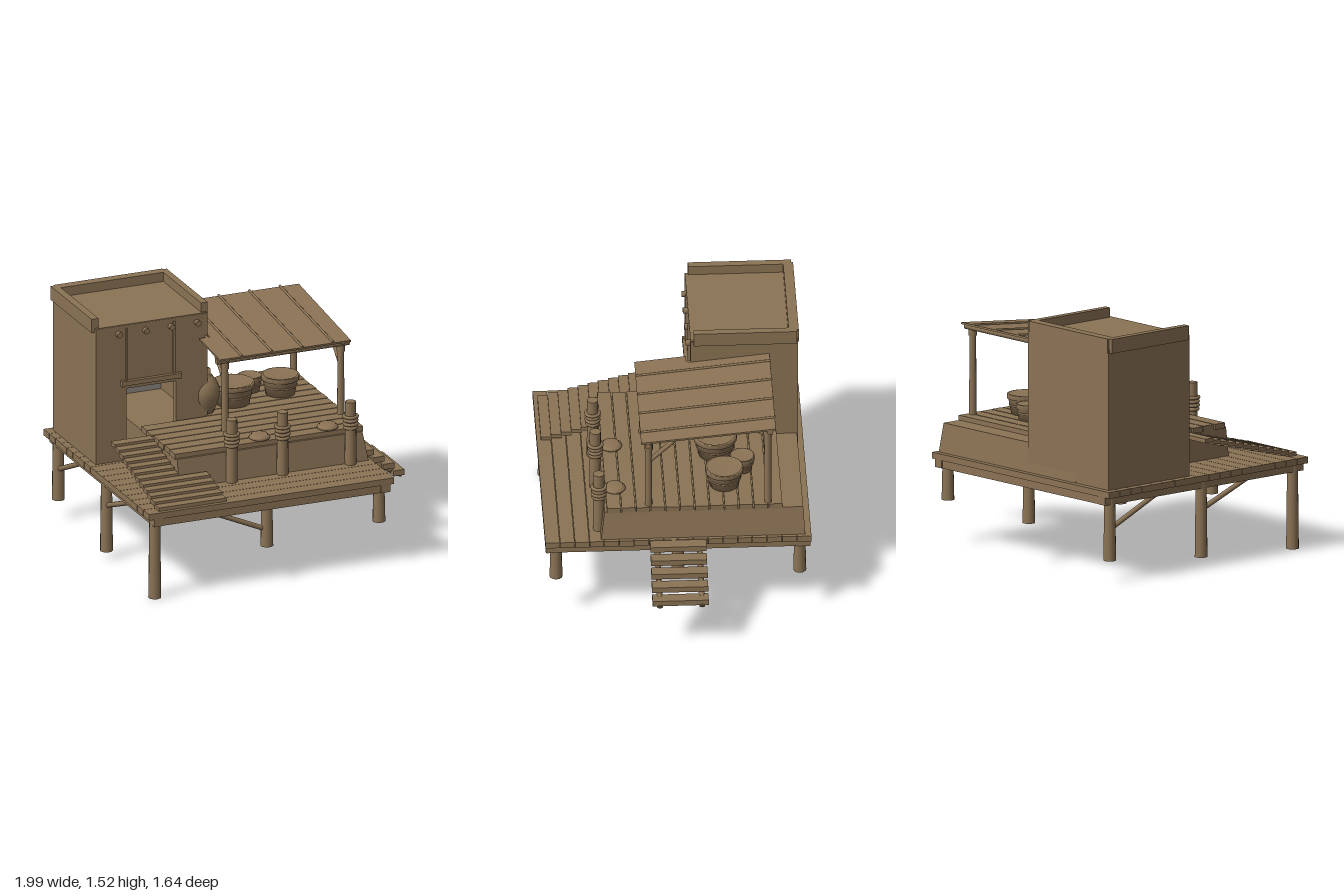
import * as THREE from 'three';

const wood = new THREE.MeshStandardMaterial({ color: 0x8b7355 });
wood.name = 'weathered wood';
const grey = new THREE.MeshStandardMaterial({ color: 0x8a8581 });
grey.name = 'grey interior';

export function createModel() {
  const root = new THREE.Group();
  root.name = 'stiltHouse';
  const V = (x, y, z) => new THREE.Vector3(x, y, z);

  function add(name, geo, mat = wood) {
    const m = new THREE.Mesh(geo, mat);
    m.name = name;
    root.add(m);
    return m;
  }
  // box given by its min and max on each axis
  function box(name, x0, x1, y0, y1, z0, z1, mat) {
    const m = add(name, new THREE.BoxGeometry(x1 - x0, y1 - y0, z1 - z0), mat);
    m.position.set((x0 + x1) / 2, (y0 + y1) / 2, (z0 + z1) / 2);
    return m;
  }
  // round pole between two points
  function pole(name, a, b, r0, r1 = r0, sides = 12) {
    const m = add(name, new THREE.CylinderGeometry(r1, r0, a.distanceTo(b), sides));
    m.position.copy(a).add(b).multiplyScalar(0.5);
    m.quaternion.setFromUnitVectors(V(0, 1, 0), b.clone().sub(a).normalize());
    return m;
  }
  function lathe(name, pts, x, y, z) {
    const m = add(name, new THREE.LatheGeometry(pts.map(p => new THREE.Vector2(...p)), 20));
    m.position.set(x, y, z);
  }
  const outline = pts => pts.map(q => new THREE.Vector2(...q));

  // lower deck: planks along x on a frame
  const pitch = 1.64 / 18;
  for (let i = 0; i < 18; i++) {
    const z = -0.82 + i * pitch, jog = (i % 3) * 0.001;
    box('deckPlank', -1 + jog, 0.642 - jog, 0.535, 0.575, z + 0.0015, z + pitch - 0.0015);
  }
  for (const z of [-0.775, 0, 0.775]) box('deckBeam', -0.96, 0.62, 0.485, 0.535, z - 0.035, z + 0.035);
  for (const x of [-0.93, 0.585]) box('deckBeam', x - 0.03, x + 0.03, 0.485, 0.535, -0.815, 0.815);
  // flat boarding under the raised part
  for (const [z0, z1] of [[-0.74, -0.035], [0.035, 0.74]])
    box('underBoarding', -0.66, 0.555, 0.515, 0.535, z0, z1);

  // stilts, each reaching its own depth
  const xs = [-0.93, -0.18, 0.57], zs = [0.75, 0, -0.75];
  const feet = [[0, 0.05, 0.13], [0.23, 0.27, 0.25], [0.28, 0.33, 0.28]];
  xs.forEach((x, i) => zs.forEach((z, j) =>
    pole('stilt', V(x, feet[i][j], z), V(x, 0.535, z), 0.04, 0.034)));
  pole('stiltBrace', V(-0.18, 0.335, 0.75), V(-0.54, 0.495, 0.75), 0.016);
  pole('stiltBrace', V(-0.93, 0.345, 0), V(-0.93, 0.495, 0.38), 0.016);
  pole('stiltBrace', V(-0.93, 0.325, -0.75), V(-0.93, 0.495, -0.37), 0.016);

  // raised plinth with sloping sides
  const plinth = new THREE.BoxGeometry(1.27, 0.19, 1.257);
  plinth.translate(-0.015, 0.665, -0.1535);
  const p = plinth.attributes.position;
  for (let i = 0; i < p.count; i++) {
    if (p.getY(i) < 0.7) continue;
    if (p.getX(i) > 0) p.setX(i, 0.588);
    p.setZ(i, p.getZ(i) > 0 ? 0.452 : -0.77);
  }
  plinth.computeVertexNormals();
  add('plinth', plinth);
  for (let i = 0; i < 12; i++) {
    const z1 = 0.437 - i * 0.0905;
    const x0 = z1 < -0.05 ? -0.22 : -0.66 + (i % 2) * 0.006;
    box('platformPlank', x0, 0.597 - (i % 2) * 0.004, 0.755, 0.79, z1 - 0.083, z1);
  }

  // stepped plank ramp up to the hut
  for (let i = 0; i < 12; i++) {
    const z1 = 0.793 - i * 0.062, y1 = 0.598 + i * 0.0165;
    box('rampPlank', -0.92, i < 5 ? -0.468 : -0.655, y1 - 0.026, y1, z1 - 0.066, z1);
  }
  // stair at the side
  for (let i = 0; i < 5; i++) {
    const x = 0.642 + i * 0.068, y = 0.572 - i * 0.0535;
    box('stairTread', x, x + 0.075, y - 0.036, y, -0.17, 0.175);
  }
  for (const z of [-0.13, 0.13])
    pole('stairStringer', V(0.6, 0.535, z), V(0.985, 0.312, z), 0.018);

  // hut walls, the front one with a doorway
  box('hutSideWall', -0.952, -0.91, 0.56, 1.46, -0.778, -0.115);
  box('hutSideWall', -0.25, -0.205, 0.56, 1.46, -0.778, -0.115);
  box('hutBackWall', -0.92, -0.24, 0.56, 1.46, -0.778, -0.74);
  box('hutInteriorPanel', -0.91, -0.25, 0.76, 1.42, -0.739, -0.732, grey);
  const front = new THREE.Shape(outline([[-0.92, 0.56], [-0.24, 0.56], [-0.24, 1.46], [-0.92, 1.46]]));
  front.holes.push(new THREE.Path(outline([[-0.747, 0.66], [-0.747, 1.045], [-0.415, 1.045], [-0.415, 0.66]])));
  add('hutFrontWall', new THREE.ExtrudeGeometry(front, { depth: 0.04, bevelEnabled: false }))
    .position.z = -0.156;
  box('hutRoof', -0.945, -0.21, 1.42, 1.465, -0.77, -0.118);
  // parapet on three sides, open at the front
  box('parapetSide', -0.972, -0.925, 1.435, 1.525, -0.77, -0.135);
  box('parapetSide', -0.24, -0.196, 1.435, 1.525, -0.77, -0.135);
  box('parapetBack', -0.945, -0.22, 1.435, 1.525, -0.782, -0.72);
  // lintel, hanging cords and pegs
  box('doorLintel', -0.765, -0.405, 1.07, 1.1, -0.12, -0.092);
  for (const x of [-0.775, -0.396]) box('lintelEnd', x - 0.01, x + 0.01, 1.066, 1.104, -0.12, -0.09);
  for (const x of [-0.747, -0.43]) box('doorCord', x - 0.007, x + 0.007, 1.09, 1.44, -0.118, -0.108);
  for (const x of [-0.8, -0.62, -0.45, -0.275])
    pole('wallPeg', V(x, 1.41, -0.14), V(x, 1.41, -0.088), 0.019);

  // shade canopy: posts, beams, braces, sloping cover and battens
  for (const x of [-0.215, 0.56]) {
    pole('canopyFrontPost', V(x, 0.78, 0.18), V(x, 1.25, 0.18), 0.023, 0.02);
    pole('canopyPostCollar', V(x, 1.2, 0.18), V(x, 1.24, 0.18), 0.026);
    pole('canopyBrace', V(x, 1.12, 0.17), V(x, 1.265, 0.02), 0.014);
    pole('canopySideRail', V(x, 1.267, 0.22), V(x, 1.345, -0.58), 0.014);
  }
  for (const x of [-0.18, 0.56]) {
    pole('canopyBackPost', V(x, 0.78, -0.555), V(x, 1.34, -0.555), 0.023, 0.021);
    pole('canopyPostCollar', V(x, 1.285, -0.555), V(x, 1.325, -0.555), 0.027);
  }
  pole('canopyFrontBeam', V(-0.275, 1.255, 0.185), V(0.61, 1.255, 0.185), 0.02);
  pole('canopyBackBeam', V(-0.2, 1.338, -0.565), V(0.61, 1.338, -0.565), 0.02);
  const tilt = Math.atan2(0.085, 0.83);
  const cover = new THREE.Shape(outline([[-0.27, -0.228], [0.607, -0.228], [0.615, 0.605],
    [-0.2, 0.605], [-0.2, 0.09], [-0.27, 0.09]]));
  const coverGeo = new THREE.ExtrudeGeometry(cover, { depth: 0.012, bevelEnabled: false });
  coverGeo.rotateX(-Math.PI / 2 + tilt);
  add('canopyCover', coverGeo).position.y = 1.291;
  for (const x of [-0.12, 0.08, 0.285, 0.49])
    pole('canopyBatten', V(x, 1.281, 0.225), V(x, 1.368, -0.605), 0.008, 0.008, 8);

  // mooring posts wrapped in rope
  for (const x of [-0.3, 0.04, 0.495]) {
    pole('mooringPost', V(x, 0.465, 0.483), V(x, 0.983, 0.483), 0.037, 0.034, 16);
    for (let i = 0; i < 4; i++) {
      const ring = add('ropeRing', new THREE.TorusGeometry(0.036 + (i % 2) * 0.002 + i * 0.001, 0.011, 8, 20));
      ring.rotation.x = Math.PI / 2;
      ring.position.set(x, 0.815 + i * 0.024, 0.483);
    }
  }
  // flat coils of rope
  for (const x of [-0.07, 0.385])
    lathe('ropeCoil', [[0, 0], [0.062, 0], [0.067, 0.01], [0.062, 0.019], [0.052, 0.021],
      [0.05, 0.03], [0, 0.03]], x, 0.79, 0.38);

  // storage jar
  lathe('jar', [[0, 0], [0.06, 0], [0.082, 0.05], [0.1, 0.11], [0.1, 0.155], [0.086, 0.2],
    [0.06, 0.235], [0.045, 0.25], [0.044, 0.282], [0, 0.282]], -0.2, 0.785, -0.19);
  // baskets with thick rims and covered tops
  const baskets = [[0.025, -0.255, 0.135, 0.143], [0.205, -0.412, 0.078, 0.105], [0.36, -0.295, 0.118, 0.13]];
  for (const [x, z, r, h] of baskets) {
    lathe('basket', [[0, 0], [r * 0.76, 0], [r * 0.93, h - 0.032], [r, h - 0.03], [r, h - 0.004],
      [r * 0.97, h], [r * 0.9, h], [r * 0.89, h - 0.006], [0, h - 0.006]], x, 0.788, z);
    const band = add('basketBand', new THREE.TorusGeometry(r * 0.845, 0.007, 6, 20));
    band.rotation.x = Math.PI / 2;
    band.position.set(x, 0.788 + h * 0.45, z);
  }
  return root;
}
